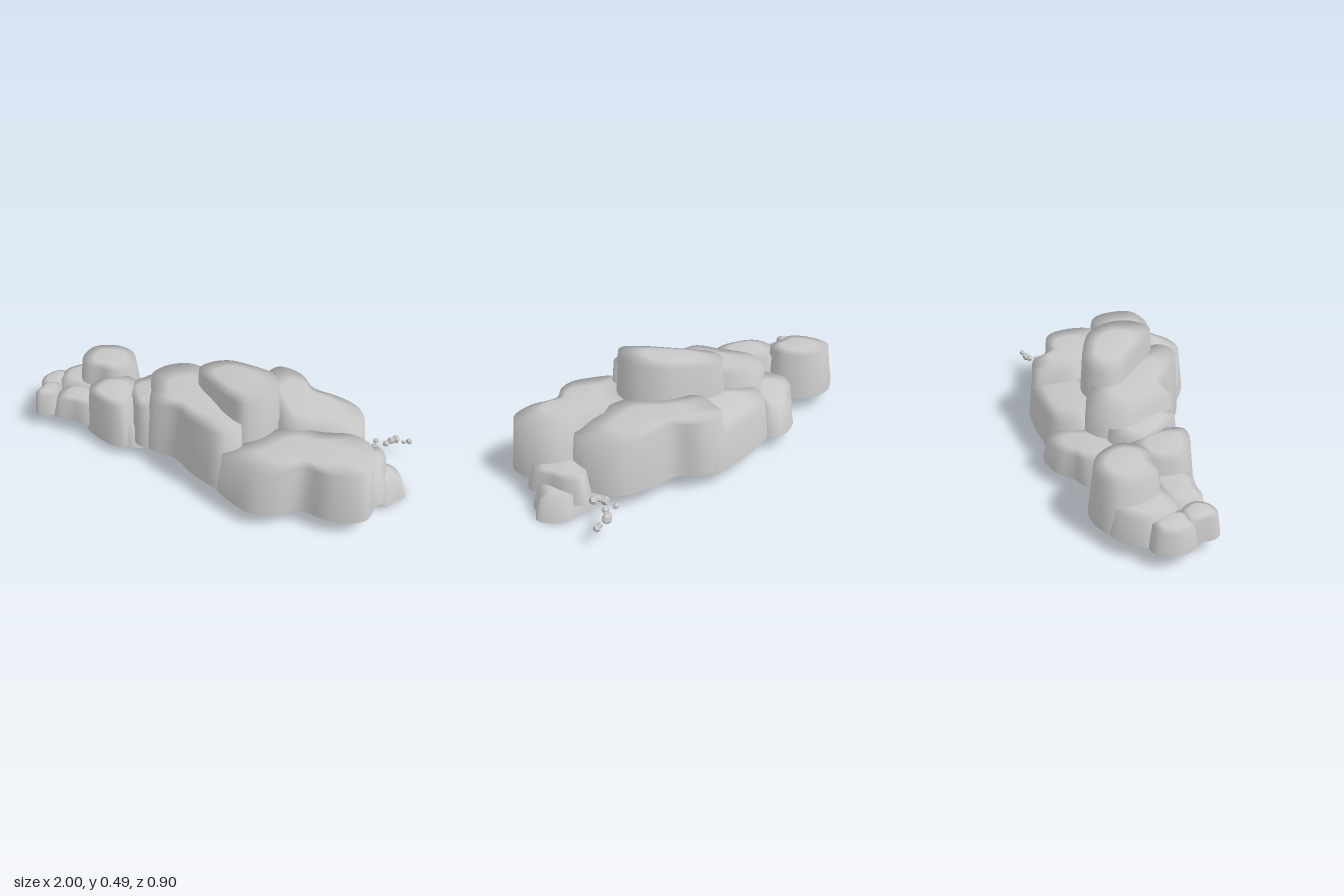
import * as THREE from 'three';

const stone = new THREE.MeshStandardMaterial({ color: 0xc8c8c8, side: THREE.DoubleSide });
stone.name = 'grey stone';

// A boulder: closed outline [x, z, x, z, ...] on the ground, leaning walls
// and a softly domed top tilted by slopeX / slopeZ. The underside is open.
function boulder(name, base, top, slopeX, slopeZ, outline) {
  const pts = [];
  for (let i = 0; i < outline.length; i += 2) pts.push(new THREE.Vector3(outline[i], 0, outline[i + 1]));
  const n = pts.length * 4;
  const ring = new THREE.CatmullRomCurve3(pts, true, 'centripetal').getPoints(n).slice(0, n);
  const c = pts.reduce((s, p) => s.add(p), new THREE.Vector3()).divideScalar(pts.length);
  let area = 0;
  ring.forEach((p, i) => { const q = ring[(i + 1) % n]; area += p.x * q.z - q.x * p.z; });
  if (area < 0) ring.reverse();

  // foot, rim and inner ring: how each outline point is drawn in, and its height
  const levels = [
    { reach: (len) => len, height: () => base },
    { reach: (len) => len - Math.min(0.028, len * 0.18), height: (tilt) => top + tilt - 0.006 },
    { reach: (len) => len * 0.5, height: (tilt) => top + tilt + 0.004 },
  ];
  const pos = [], index = [];
  levels.forEach(({ reach, height }, level) => {
    for (const p of ring) {
      const d = p.clone().sub(c);
      d.setLength(reach(d.length()));
      pos.push(c.x + d.x, height(slopeX * d.x + slopeZ * d.z), c.z + d.z);
    }
    if (level === 0) return;
    for (let i = 0; i < n; i++) {
      const a = (level - 1) * n + i, b = (level - 1) * n + (i + 1) % n;
      index.push(a, a + n, b, b, a + n, b + n);
    }
  });
  const last = (levels.length - 1) * n;
  pos.push(c.x, top + 0.008, c.z);
  for (let i = 0; i < n; i++) index.push(last + i, last + n, last + (i + 1) % n);

  const geo = new THREE.BufferGeometry();
  geo.setAttribute('position', new THREE.Float32BufferAttribute(pos, 3));
  geo.setIndex(index);
  geo.computeVertexNormals();
  const mesh = new THREE.Mesh(geo, stone);
  mesh.name = name;
  return mesh;
}

export function createModel() {
  const model = new THREE.Group();
  model.name = 'rockFormation';

  model.add(
    // central mass and summit
    boulder('summitRock', 0.1, 0.468, 0.13, 0.04,
      [-0.1, -0.12, -0.05, -0.19, 0.03, -0.22, 0.14, -0.2, 0.32, -0.11, 0.39, 0.03, 0.365, 0.16, 0.27, 0.24, 0.17, 0.2, 0.03, 0.08, -0.08, -0.04]),
    boulder('centralRock', 0.08, 0.365, 0.07, 0,
      [-0.36, -0.12, -0.31, -0.22, -0.2, -0.27, -0.06, -0.22, 0.08, -0.06, 0.26, 0.2, 0.28, 0.28, 0.2, 0.345, 0.05, 0.295, -0.1, 0.2, -0.25, 0.17, -0.31, 0.02]),
    boulder('centralShoulder', 0.08, 0.29, 0.1, 0,
      [-0.47, -0.08, -0.43, -0.16, -0.32, -0.21, -0.2, -0.05, -0.18, 0.12, -0.24, 0.17, -0.31, 0.165, -0.38, 0.08]),
    // right-hand masses
    boulder('frontRightRock', 0.075, 0.31, 0.07, -0.03,
      [0.17, 0.33, 0.25, 0.22, 0.35, 0.08, 0.45, 0.02, 0.6, 0.03, 0.75, 0.02, 0.85, 0.09, 0.885, 0.21, 0.865, 0.32, 0.72, 0.375, 0.58, 0.355, 0.48, 0.425, 0.38, 0.45, 0.28, 0.415]),
    boulder('backRightRock', 0.08, 0.328, -0.05, -0.05,
      [0.15, -0.2, 0.18, -0.32, 0.23, -0.41, 0.36, -0.395, 0.46, -0.3, 0.6, -0.275, 0.73, -0.21, 0.785, -0.08, 0.76, 0.05, 0.6, 0.1, 0.4, 0.1, 0.27, -0.06]),
    // lower back row
    boulder('backMiddleRock', 0.075, 0.27, 0.03, 0.2,
      [-0.2, -0.27, -0.12, -0.39, 0.05, -0.425, 0.2, -0.43, 0.32, -0.41, 0.34, -0.25, 0.2, -0.14, 0, -0.12, -0.14, -0.18]),
    boulder('backLeftRock', 0.075, 0.21, 0.02, 0.2,
      [-0.47, -0.24, -0.43, -0.32, -0.35, -0.365, -0.27, -0.43, -0.13, -0.45, -0.085, -0.39, -0.13, -0.28, -0.22, -0.18, -0.38, -0.12]),
    // left-hand cluster
    boulder('leftTallRock', 0.08, 0.315, 0.03, 0,
      [-0.81, -0.2, -0.79, -0.32, -0.66, -0.375, -0.55, -0.345, -0.48, -0.27, -0.455, -0.18, -0.5, -0.09, -0.56, -0.06, -0.64, -0.07, -0.75, -0.08]),
    boulder('leftLowRock', 0.08, 0.205, 0.05, 0,
      [-0.92, -0.18, -0.87, -0.27, -0.77, -0.33, -0.68, -0.25, -0.66, -0.08, -0.74, -0.03, -0.87, -0.04]),
    boulder('leftEndRock', 0.08, 0.19, 0.1, 0,
      [-1, -0.1, -0.96, -0.19, -0.89, -0.2, -0.84, -0.12, -0.86, -0.01, -0.96, -0.01]),
    boulder('leftFrontEndRock', 0.08, 0.195, 0.08, 0,
      [-0.95, 0.02, -0.94, -0.07, -0.86, -0.07, -0.81, 0.02, -0.84, 0.085, -0.91, 0.11, -0.945, 0.08]),
    boulder('leftFrontLowRock', 0.08, 0.195, 0.04, 0,
      [-0.85, 0.02, -0.83, -0.08, -0.7, -0.11, -0.56, -0.1, -0.54, 0.06, -0.62, 0.105, -0.72, 0.095, -0.82, 0.09]),
    boulder('leftFrontRock', 0.05, 0.278, 0, 0,
      [-0.655, 0.01, -0.61, -0.11, -0.5, -0.16, -0.38, -0.1, -0.34, 0.06, -0.37, 0.165, -0.43, 0.18, -0.52, 0.155, -0.63, 0.09]),
    boulder('leftFooting', 0.05, 0.17, -0.2, 0,
      [-0.56, 0, -0.54, -0.16, -0.42, -0.22, -0.27, -0.16, -0.21, 0, -0.26, 0.12, -0.36, 0.165, -0.5, 0.1]),
    // right-hand tip
    boulder('rightShoulder', 0.06, 0.172, -0.06, -0.08,
      [0.7, 0, 0.77, -0.1, 0.84, -0.135, 0.89, -0.07, 0.905, 0.04, 0.92, 0.14, 0.86, 0.205, 0.74, 0.18]),
    boulder('rightTip', 0.005, 0.12, -0.14, 0,
      [0.63, 0, 0.7, -0.09, 0.85, -0.105, 0.94, -0.095, 1, 0, 0.965, 0.05, 0.92, 0.115, 0.72, 0.1]),
  );

  // scattered pebbles behind the tip: x, z, radius
  const pebbles = new THREE.Group();
  pebbles.name = 'pebbles';
  [[0.8, -0.27, 0.014], [0.805, -0.215, 0.02], [0.835, -0.175, 0.02], [0.81, -0.18, 0.014], [0.85, -0.26, 0.017],
    [0.87, -0.295, 0.018], [0.89, -0.31, 0.022], [0.93, -0.31, 0.012], [0.955, -0.32, 0.016]].forEach(([x, z, r], i) => {
    const pebble = new THREE.Mesh(new THREE.DodecahedronGeometry(r, 0), stone);
    pebble.name = 'pebble' + (i + 1);
    pebble.position.set(x, 0.086 + r * 0.7, z);
    pebble.rotation.set(i, i * 2, i * 0.7);
    pebbles.add(pebble);
  });
  model.add(pebbles);
  return model;
}
